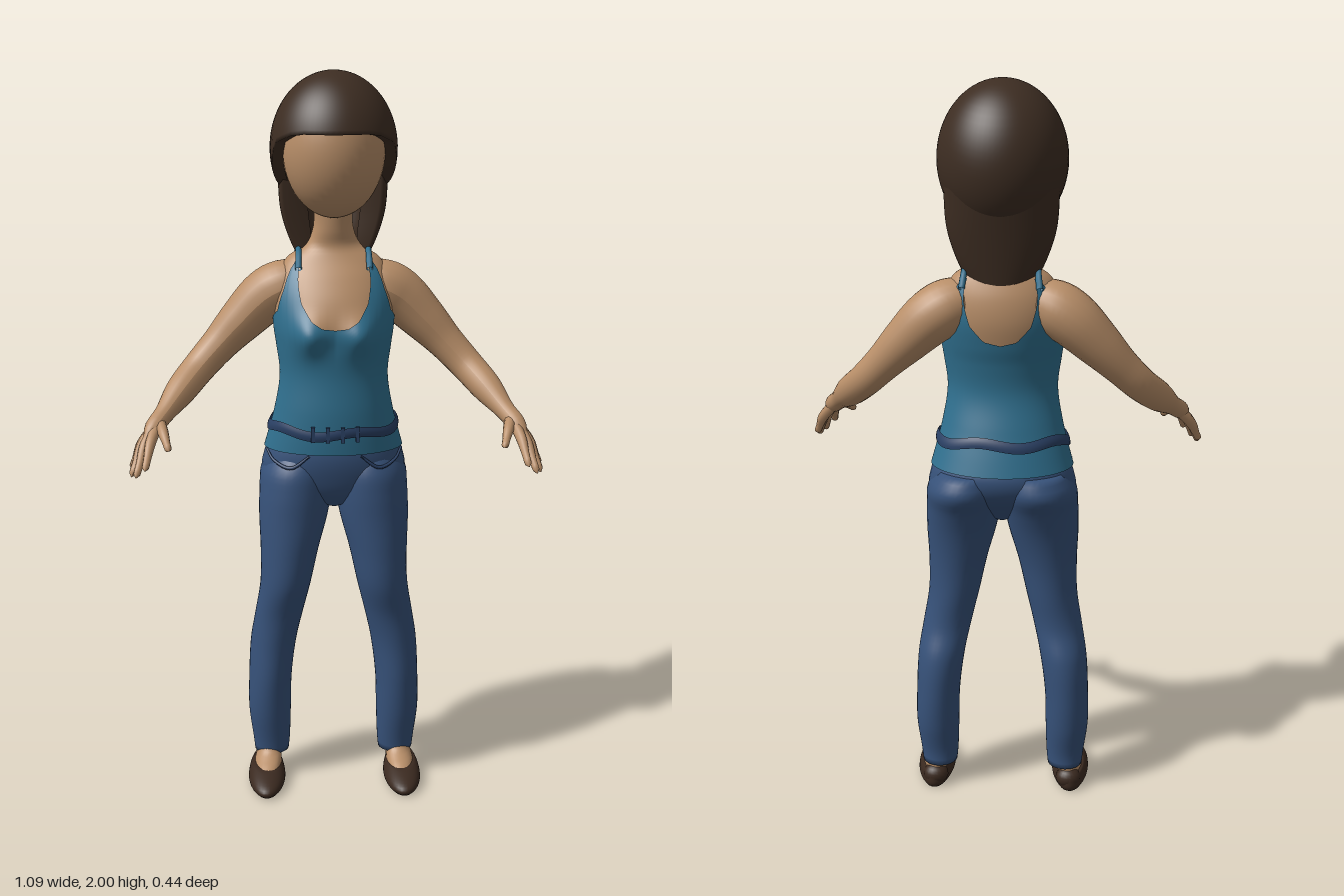
import * as THREE from 'three';

const mat = (name, color, side = THREE.FrontSide) => {
  const m = new THREE.MeshStandardMaterial({ color, side });
  m.name = name;
  return m;
};

// Smooth lookup through rows of [key, ...values]
function spline(rows) {
  const n = rows[0].length - 1;
  const f = new THREE.CubicInterpolant(rows.map(r => r[0]), rows.flatMap(r => r.slice(1)), n);
  return k => Array.from(f.evaluate(k));
}

// Surface from point(u, v), closed around u; v runs upward
function grid(point, nu, nv) {
  const pos = [], idx = [];
  for (let j = 0; j <= nv; j++)
    for (let i = 0; i < nu; i++) pos.push(...point(i / nu, j / nv, j));
  for (let j = 0; j < nv; j++)
    for (let i = 0; i < nu; i++) {
      const a = j * nu + i, b = j * nu + (i + 1) % nu;
      idx.push(a, b, b + nu, a, b + nu, a + nu);
    }
  const g = new THREE.BufferGeometry();
  g.setAttribute('position', new THREE.Float32BufferAttribute(pos, 3));
  g.setIndex(idx);
  g.computeVertexNormals();
  return g;
}

// Capped body of oval rings: [y, centreX, halfWidth, zFront, zBack]
function loft(rows, s = 1, nu = 36, nv = 40) {
  const f = spline(rows), y0 = rows[0][0], y1 = rows[rows.length - 1][0];
  return grid((u, v, j) => {
    const a = u * Math.PI * 2;
    const y = y0 + (y1 - y0) * THREE.MathUtils.clamp((j - 1) / (nv - 2), 0, 1);
    const [cx, rx, zf, zb] = f(y), k = j === 0 || j === nv ? 0 : 1;
    return [s * cx + k * rx * Math.sin(a), y, (zf + zb) / 2 + k * (zf - zb) / 2 * Math.cos(a)];
  }, nu, nv);
}

// Tube with changing radius through [x, y, z, r]
function sweep(pts, s = 1, segs = 28, sides = 14) {
  const curve = new THREE.CatmullRomCurve3(pts.map(p => new THREE.Vector3(s * p[0], p[1], p[2])));
  const g = new THREE.TubeGeometry(curve, segs, 1, sides);
  const radius = spline(pts.map((p, i) => [i / (pts.length - 1), p[3]]));
  const pos = g.attributes.position, v = new THREE.Vector3();
  for (let i = 0; i <= segs; i++) {
    const c = curve.getPointAt(i / segs);
    const r = Math.max(0.0005, radius(curve.getUtoTmapping(i / segs))[0]);
    for (let j = 0; j <= sides; j++) {
      const k = i * (sides + 1) + j;
      v.fromBufferAttribute(pos, k).sub(c).multiplyScalar(r).add(c);
      pos.setXYZ(k, v.x, v.y, v.z);
    }
  }
  g.computeVertexNormals();
  return g;
}

// Torso surface: [y, halfWidth, zFront, zBack]
const torso = spline([
  [0.98, 0.188, 0.052, -0.205], [1.03, 0.174, 0.055, -0.19], [1.1, 0.156, 0.056, -0.168],
  [1.2, 0.141, 0.05, -0.142], [1.28, 0.15, 0.055, -0.15], [1.33, 0.157, 0.058, -0.163],
  [1.4, 0.16, 0.04, -0.174], [1.46, 0.15, 0.008, -0.168], [1.51, 0.122, -0.025, -0.15],
  [1.54, 0.078, -0.038, -0.138], [1.58, 0.056, -0.032, -0.13], [1.68, 0.055, -0.02, -0.13],
]);
function torsoPoint(a, y, off) {
  const [rx, zf, zb] = torso(y);
  const x = (rx + off) * Math.sin(a);
  let z = (zf + zb) / 2 + ((zf - zb) / 2 + off) * Math.cos(a);
  // bust
  if (Math.cos(a) > 0)
    z += 0.034 * Math.cos(a) * Math.exp(-(((Math.abs(x) - 0.075) / 0.045) ** 2) - ((y - 1.315) / 0.05) ** 2);
  return [x, y, z];
}

// Lookup by angle from the front, the same on both sides
const byAngle = rows => a => {
  const d = THREE.MathUtils.radToDeg(a > Math.PI ? 2 * Math.PI - a : a);
  let i = 1;
  while (i < rows.length - 1 && rows[i][0] < d) i++;
  const [p, q] = [rows[i - 1], rows[i]];
  return THREE.MathUtils.lerp(p[1], q[1], (d - p[0]) / (q[0] - p[0]));
};
const topEdge = byAngle([[0, 1.335], [12, 1.34], [22, 1.358], [32, 1.40], [38, 1.46], [42, 1.51], [50, 1.51],
  [56, 1.43], [66, 1.375], [90, 1.345], [114, 1.375], [124, 1.43], [130, 1.51], [138, 1.51],
  [144, 1.45], [152, 1.39], [165, 1.35], [180, 1.34]]);
const hairEdge = byAngle([[0, 1.846], [30, 1.846], [45, 1.84], [65, 1.82], [80, 1.76], [97, 1.71],
  [115, 1.68], [135, 1.645], [157, 1.63], [180, 1.625]]);

export function createModel() {
  const skin = mat('skin', 0xb98f69);
  const hair = mat('hair brown', 0x3d2d22, THREE.DoubleSide);
  const teal = mat('top teal', 0x30708f, THREE.DoubleSide);
  const denim = mat('denim blue', 0x37527a, THREE.DoubleSide);
  const navy = mat('belt navy', 0x2a4064, THREE.DoubleSide);
  const leather = mat('shoe brown', 0x3b2a20);
  const model = new THREE.Group();
  const add = (name, geo, m) => {
    const mesh = new THREE.Mesh(geo, m);
    mesh.name = name;
    model.add(mesh);
    return mesh;
  };
  const TAU = Math.PI * 2;

  // Head and upper body
  add('head', new THREE.SphereGeometry(1, 40, 28).scale(0.135, 0.18, 0.135).translate(0, 1.8, -0.03), skin);
  add('chestAndNeck', grid((u, v) => torsoPoint(u * TAU, 1.25 + v * 0.43, 0), 48, 44), skin);

  // Hair cap with a thick rim, and the crescent that hangs behind the neck
  add('hairCap', grid((u, v, j) => {
    const a = u * TAU, p0 = Math.asin((hairEdge(a) - 1.8) / 0.2);
    const p = p0 + (Math.PI / 2 - p0) * Math.max(0, j - 1) / 23;
    const k = Math.cos(p) * (j === 0 ? 0.8 : 1);
    return [0.168 * k * Math.sin(a), 1.8 + 0.2 * Math.sin(p), -0.05 + 0.175 * k * Math.cos(a)];
  }, 72, 24), hair);
  const hang = spline([[1.49, 0.085, 0.055, 0.94], [1.55, 0.115, 0.066, 0.62],
    [1.63, 0.14, 0.08, 0.56], [1.74, 0.148, 0.1, 0.6]]);
  add('hairBack', grid((u, v) => {
    const y = 1.49 + 0.25 * v, [rx, rz, inner] = hang(y);
    const t = u < 0.5 ? u * 2 : 2 - u * 2, k = u < 0.5 ? 1 : inner;
    const a = THREE.MathUtils.degToRad(58 + 244 * t);
    return [k * rx * Math.sin(a), y, -0.1 + k * rz * Math.cos(a)];
  }, 64, 16), hair);

  // Tank top, scooped front and back
  add('tankTop', grid((u, v) => {
    const a = u * TAU;
    return torsoPoint(a, 0.99 + (topEdge(a) - 0.99) * v, 0.006);
  }, 180, 44), teal);

  // Belt band, higher at the back, with small loops in front
  add('beltBand', grid((u, v) => {
    const a = u * TAU, wave = 0.006 * Math.sin(5 * a);
    return torsoPoint(a, 1.035 + 0.012 * (1 - Math.cos(a)) + wave + 0.028 * v, 0.011 + 0.003 * Math.sin(v * Math.PI));
  }, 72, 4), navy);
  for (const x of [-0.06, -0.02, 0.02, 0.06])
    add('beltLoop', new THREE.BoxGeometry(0.01, 0.042, 0.009).translate(x, 1.05, 0.067 - x * x * 2), navy);

  // Jeans seat
  add('jeansSeat', loft([[0.83, 0, 0.03, 0, -0.1], [0.87, 0, 0.15, 0.025, -0.14], [0.92, 0, 0.196, 0.042, -0.185],
    [0.97, 0, 0.192, 0.05, -0.2], [1.03, 0, 0.168, 0.045, -0.18]]), denim);

  for (const s of [1, -1]) {
    const side = s > 0 ? 'left' : 'right';
    // Trouser leg
    add(side + 'TrouserLeg', loft([
      [0.07, 0.18, 0.049, -0.022, -0.12], [0.1, 0.18, 0.052, -0.018, -0.12], [0.2, 0.184, 0.06, 0, -0.14],
      [0.3, 0.182, 0.061, 0.01, -0.149], [0.42, 0.171, 0.065, 0.012, -0.145], [0.5, 0.156, 0.067, 0.02, -0.122],
      [0.6, 0.136, 0.071, 0.045, -0.122], [0.7, 0.124, 0.081, 0.05, -0.13], [0.8, 0.112, 0.096, 0.05, -0.152],
      [0.87, 0.105, 0.101, 0.05, -0.18], [0.93, 0.1, 0.1, 0.044, -0.212], [0.98, 0.09, 0.08, 0.02, -0.195],
    ], s, 36, 60), denim);
    add(side + 'PocketSeam', sweep([[0.07, 0.985, 0.046, 0.003], [0.12, 0.95, 0.036, 0.005],
      [0.165, 0.965, 0.006, 0.004], [0.185, 0.99, -0.03, 0.003]], s), navy);

    // Foot and slip-on shoe
    add(side + 'Foot', loft([[0.025, 0.193, 0.042, 0.075, -0.115], [0.05, 0.191, 0.038, 0.045, -0.115],
      [0.075, 0.186, 0.035, -0.01, -0.112], [0.13, 0.182, 0.034, -0.03, -0.105]], s, 28, 14), skin);
    add(side + 'Shoe', loft([[0, 0.195, 0.044, 0.115, -0.122], [0.012, 0.195, 0.052, 0.128, -0.129],
      [0.028, 0.195, 0.051, 0.118, -0.13], [0.042, 0.195, 0.045, 0.08, -0.128],
      [0.05, 0.194, 0.039, 0.045, -0.122]], s, 36, 14), leather);
    const collar = new THREE.SphereGeometry(1, 20, 12).scale(0.036, 0.03, 0.03);
    add(side + 'ShoeHeel', collar.translate(s * 0.191, 0.034, -0.1), leather);

    // Strap over the shoulder
    add(side + 'Strap', sweep([[0.095, 1.485, -0.018, 0.009], [0.094, 1.523, -0.05, 0.008],
      [0.094, 1.532, -0.088, 0.008], [0.095, 1.523, -0.125, 0.008], [0.1, 1.485, -0.152, 0.009]], s, 20, 8), teal);

    // Arm
    add(side + 'Arm', sweep([[0.07, 1.45, -0.09, 0.05], [0.13, 1.43, -0.098, 0.071], [0.18, 1.4, -0.106, 0.073],
      [0.25, 1.333, -0.102, 0.062], [0.31, 1.27, -0.09, 0.05], [0.365, 1.212, -0.065, 0.045],
      [0.415, 1.16, -0.005, 0.041], [0.455, 1.115, 0.06, 0.027], [0.483, 1.085, 0.105, 0.024],
      [0.5, 1.06, 0.135, 0.008]], s, 44, 20), skin);

    // Fingers fan out from the wrist and form the palm together: [knuckle, tip]
    [[[0.487, 1.06, 0.15], [0.5, 1.0, 0.216]], [[0.503, 1.05, 0.14], [0.525, 0.977, 0.2]],
      [[0.512, 1.045, 0.127], [0.539, 0.972, 0.172]], [[0.514, 1.045, 0.112], [0.54, 0.985, 0.145]],
      [[0.455, 1.08, 0.135], [0.438, 1.045, 0.19]]].forEach(([k, t]) => {
      const mid = k.map((c, i) => c + (t[i] - c) * 0.55);
      add(side + 'Finger', sweep([[0.468, 1.1, 0.085, 0.016], [...k, 0.0145], [...mid, 0.0105],
        [...k.map((c, i) => c + (t[i] - c) * 0.9), 0.009], [...t, 0.001]], s, 16, 10), skin);
    });
  }
  return model;
}
